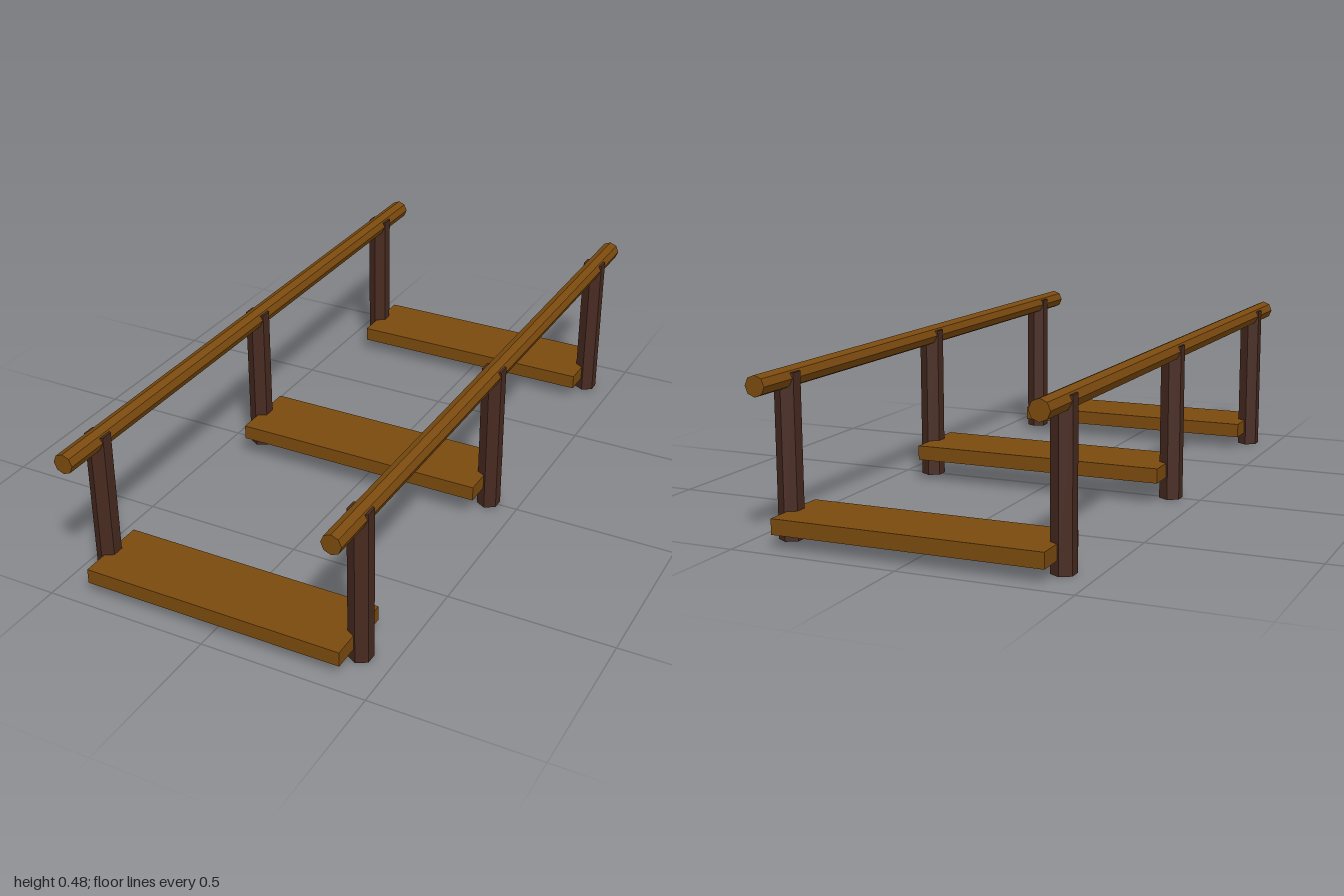
import * as THREE from 'three';

export function createModel() {
  const model = new THREE.Group();
  model.name = 'footbridgeFrame';

  const plankWood = new THREE.MeshStandardMaterial({ color: 0x7b4a0e, flatShading: true });
  plankWood.name = 'warm brown wood';
  const postWood = new THREE.MeshStandardMaterial({ color: 0x472a20, flatShading: true });
  postWood.name = 'dark brown wood';

  const add = (name, geometry, material, x, y, z) => {
    const mesh = new THREE.Mesh(geometry, material);
    mesh.name = name;
    mesh.position.set(x, y, z);
    model.add(mesh);
  };

  const sideX = 0.406;
  const spacing = 0.844;
  const postHeight = 0.469;

  // Six-sided posts, eight-sided rails lying along z, flat treads
  const postGeometry = new THREE.CylinderGeometry(0.036, 0.036, postHeight, 6);
  const railGeometry = new THREE.CylinderGeometry(0.03, 0.03, 2, 8).rotateX(Math.PI / 2);
  const treadGeometry = new THREE.BoxGeometry(0.8, 0.045, 0.224);

  for (const [side, label] of [[1, 'left'], [-1, 'right']]) {
    add(`${label}Rail`, railGeometry, plankWood, side * sideX, 0.453, 0);
  }

  // Each row has a tread between two posts; the middle tread sits higher
  for (const [row, label] of [[1, 'front'], [0, 'middle'], [-1, 'back']]) {
    const z = row * spacing;
    add(`${label}Tread`, treadGeometry, plankWood, 0, row === 0 ? 0.09 : 0.063, z);
    add(`${label}LeftPost`, postGeometry, postWood, sideX, postHeight / 2, z);
    add(`${label}RightPost`, postGeometry, postWood, -sideX, postHeight / 2, z);
  }

  return model;
}
